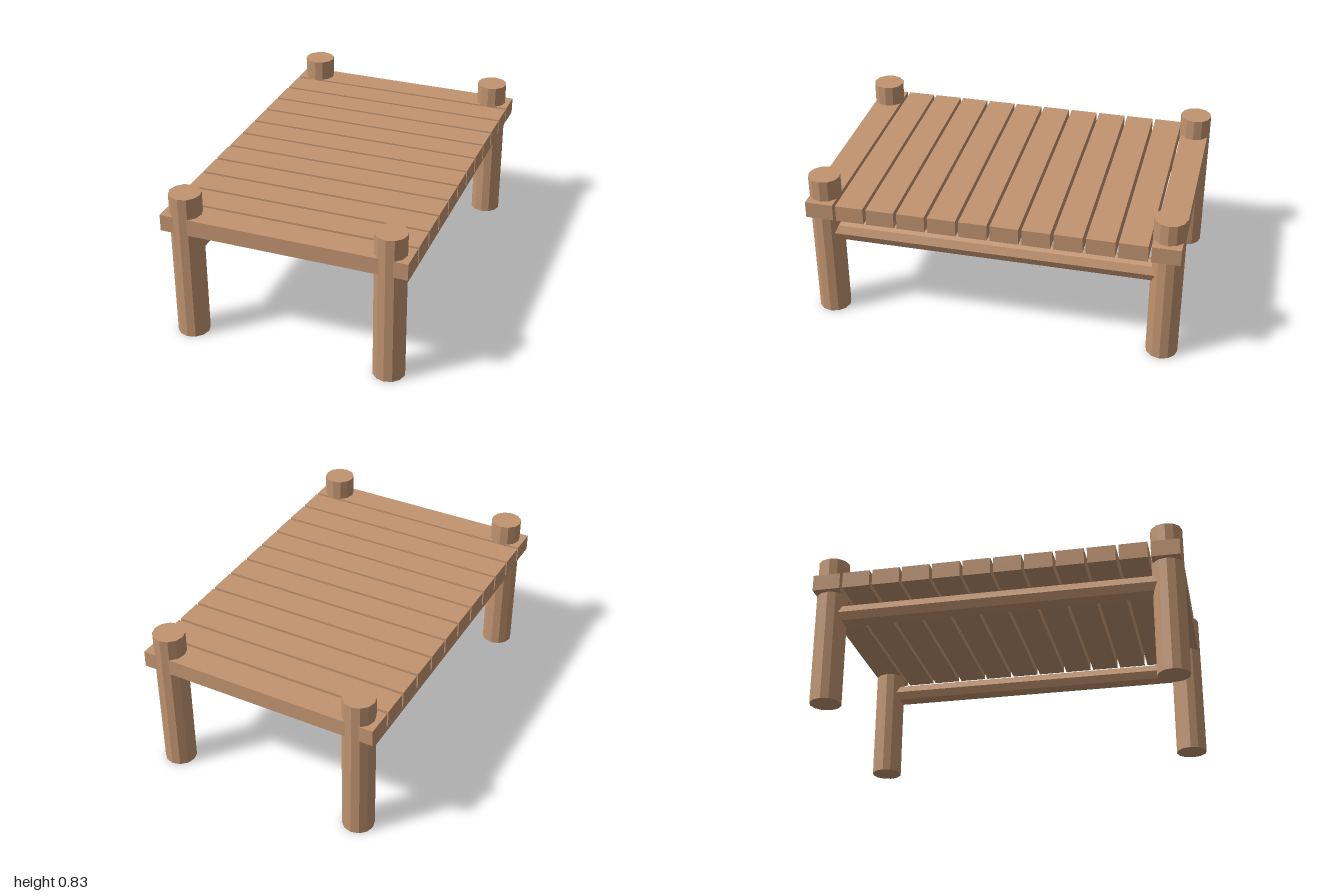
import * as THREE from 'three';

export function createModel() {
  const model = new THREE.Group();
  model.name = 'woodenPlatform';
  const wood = new THREE.MeshStandardMaterial({ color: 0xc19470 });
  wood.name = 'wood';
  wood.flatShading = true;

  const add = (name, geometry, x, y, z) => {
    const mesh = new THREE.Mesh(geometry, wood);
    mesh.name = name;
    mesh.position.set(x, y, z);
    model.add(mesh);
  };

  const postX = 0.55, postZ = 0.915, postHeight = 0.83;
  const postGeometry = new THREE.CylinderGeometry(0.085, 0.085, postHeight, 12);
  const railGeometry = new THREE.CylinderGeometry(0.06, 0.06, postZ * 2, 8).rotateX(Math.PI / 2);
  const plankGeometry = new THREE.BoxGeometry(1.325, 0.09, 0.15);

  // Corner posts and the long side rails running between them
  for (const [side, x] of [['left', postX], ['right', -postX]]) {
    add(`${side}FrontPost`, postGeometry, x, postHeight / 2, postZ);
    add(`${side}BackPost`, postGeometry, x, postHeight / 2, -postZ);
    add(`${side}Rail`, railGeometry, x, 0.507, 0);
  }

  // Deck planks, evenly spaced from post to post
  const plankCount = 12;
  for (let i = 0; i < plankCount; i++) {
    const z = -postZ + (2 * postZ * i) / (plankCount - 1);
    add(`plank${i + 1}`, plankGeometry, 0, 0.67, z);
  }

  return model;
}
